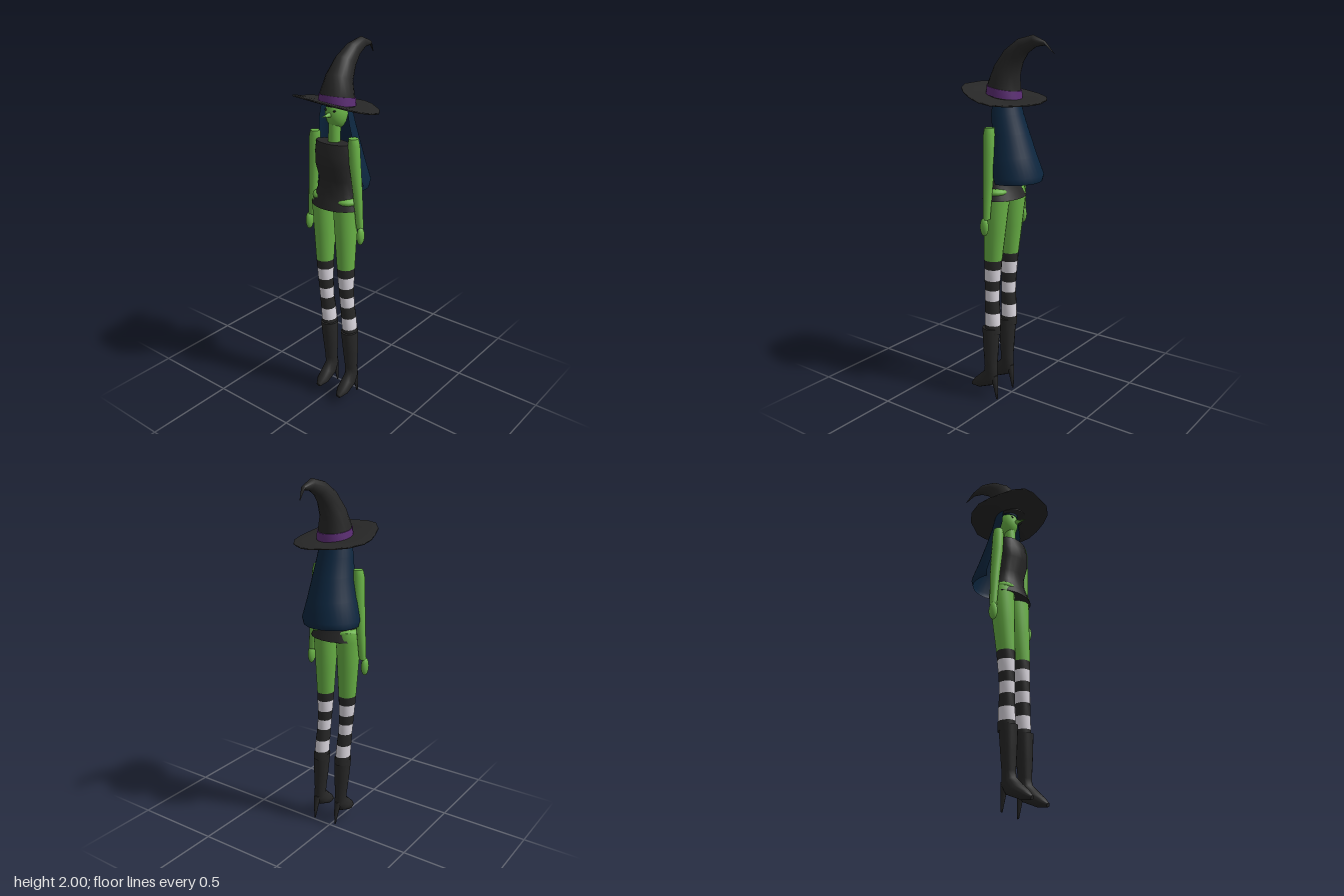
import * as THREE from 'three';

const mat = (name, color, side = THREE.FrontSide) => {
  const m = new THREE.MeshStandardMaterial({ color, side });
  m.name = name;
  return m;
};

// Level ring: height, centre and radii.  A ring is [cx, frontY, frontZ, backY, backZ, rx].
const flat = (y, cx, cz, rx, rz) => [cx, y, cz + rz, y, cz - rz, rx];

// Skin through elliptical rings listed from top to bottom (or from tip to base).
function loft(rings, seg = 14, { arc = null, cap = true } = {}) {
  const pos = [], idx = [];
  const [a0, a1] = arc || [0, Math.PI * 2];
  const cols = arc ? seg + 1 : seg;
  const point = ([cx, fy, fz, by, bz, rx], j) => {
    const a = a0 + ((a1 - a0) * j) / seg, s = Math.sin(a) / 2;
    return [cx + Math.cos(a) * rx, (fy + by) / 2 + s * (fy - by), (fz + bz) / 2 + s * (fz - bz)];
  };
  rings.forEach((r) => { for (let j = 0; j < cols; j++) pos.push(...point(r, j)); });
  for (let i = 0; i < rings.length - 1; i++) {
    for (let j = 0; j < seg; j++) {
      const k = (j + 1) % cols;
      const a = i * cols + j, b = i * cols + k, c = a + cols, d = b + cols;
      idx.push(a, b, c, b, d, c);
    }
  }
  if (cap && !arc) {
    [rings[0], rings[rings.length - 1]].forEach((r, end) => {
      const base = pos.length / 3;
      pos.push(r[0], (r[1] + r[3]) / 2, (r[2] + r[4]) / 2);
      for (let j = 0; j < seg; j++) pos.push(...point(r, j));
      for (let j = 0; j < seg; j++) {
        const p = base + 1 + j, q = base + 1 + ((j + 1) % seg);
        idx.push(base, end ? p : q, end ? q : p);
      }
    });
  }
  const g = new THREE.BufferGeometry();
  g.setAttribute('position', new THREE.Float32BufferAttribute(pos, 3));
  g.setIndex(idx);
  g.computeVertexNormals();
  return g;
}

// Hat brim: an uneven outline around a hole, bent by a height rule.
function brimGeometry() {
  const outline = [[-0.22, -0.02], [-0.18, -0.095], [-0.12, -0.14], [0, -0.175], [0.06, -0.16], [0.12, -0.12],
    [0.17, -0.08], [0.21, -0.02], [0.217, 0.05], [0.2, 0.115], [0.17, 0.18], [0.13, 0.23], [0.07, 0.255],
    [-0.07, 0.25], [-0.135, 0.23], [-0.18, 0.18], [-0.205, 0.11], [-0.22, 0.05]];
  const n = outline.length, pos = [], idx = [], cz = 0.045;
  const rows = [[0.38, 0.006], [0.7, 0.006], [1, 0.004], [1, -0.004], [0.7, -0.006], [0.38, -0.006]];
  rows.forEach(([t, h]) => outline.forEach(([ox, oz]) => {
    const x = ox * t, z = cz + (oz - cz) * t;
    pos.push(x, 1.677 + 0.166 * z + 0.457 * z * z - 0.06 * x + h, z);
  }));
  for (let i = 0; i < rows.length - 1; i++) {
    for (let j = 0; j < n; j++) {
      const a = i * n + j, b = i * n + ((j + 1) % n);
      idx.push(a, b, a + n, b, b + n, a + n);
    }
  }
  const g = new THREE.BufferGeometry();
  g.setAttribute('position', new THREE.Float32BufferAttribute(pos, 3));
  g.setIndex(idx);
  g.computeVertexNormals();
  return g;
}

// Leg centre line and thickness: y, cx, cz, rx, rz.
const LEG = [[1.2, -0.085, 0.05, 0.06, 0.062], [1.15, -0.087, 0.05, 0.067, 0.07], [0.98, -0.08, 0.058, 0.057, 0.06],
  [0.82, -0.073, 0.066, 0.048, 0.051], [0.7, -0.068, 0.068, 0.041, 0.045], [0.6, -0.062, 0.067, 0.038, 0.041],
  [0.52, -0.057, 0.061, 0.04, 0.045], [0.4, -0.05, 0.055, 0.041, 0.048]];
function legRing(y) {
  let i = 0;
  while (i < LEG.length - 2 && y < LEG[i + 1][0]) i++;
  const a = LEG[i], b = LEG[i + 1], t = (y - a[0]) / (b[0] - a[0]);
  return flat(...a.map((v, k) => v + (b[k] - v) * t));
}

export function createModel() {
  const skin = mat('green skin', 0x69b246);
  const black = mat('black cloth', 0x272727);
  const white = mat('pale stripe', 0xdcd8e0);
  const purple = mat('purple band', 0x5c2d75);
  const blue = mat('dark blue hair', 0x0c263f, THREE.DoubleSide);

  const model = new THREE.Group();
  const add = (name, geo, material, parent = model) => {
    const m = new THREE.Mesh(geo, material);
    m.name = name;
    parent.add(m);
    return m;
  };
  const ball = (name, material, p, r, parent = model) => {
    const m = add(name, new THREE.SphereGeometry(1, 16, 12), material, parent);
    m.position.set(...p);
    m.scale.set(...r);
    return m;
  };

  // Hat: bent cone, band and brim
  add('hatCone', loft([
    [-0.006, 1.908, -0.254, 1.91, -0.256, 0.002], [0.008, 1.973, -0.204, 1.95, -0.214, 0.012],
    [0.008, 2.0, -0.135, 1.942, -0.156, 0.024], [0.006, 1.979, -0.045, 1.91, -0.103, 0.037],
    [0.003, 1.926, 0.035, 1.862, -0.066, 0.051], [0, 1.846, 0.098, 1.793, -0.04, 0.067],
    [0, 1.756, 0.135, 1.724, -0.04, 0.088], [0, 1.7, 0.14, 1.67, -0.044, 0.09]], 18), black);
  add('hatBand', loft([[0, 1.75, 0.14, 1.717, -0.045, 0.092], [0, 1.706, 0.145, 1.676, -0.049, 0.096]], 18), purple);
  add('hatBrim', brimGeometry(), black);

  // Head and face
  ball('head', skin, [-0.01, 1.645, 0.04], [0.056, 0.085, 0.062]);
  add('neck', loft([flat(1.6, -0.01, 0.055, 0.032, 0.032), flat(1.48, -0.01, 0.062, 0.033, 0.032)]), skin);
  const nose = add('nose', new THREE.ConeGeometry(0.014, 0.07, 8), skin);
  nose.position.set(-0.01, 1.642, 0.128);
  nose.rotation.x = Math.PI / 2;
  for (const s of [-1, 1]) {
    ball('eye', black, [-0.01 + s * 0.027, 1.664, 0.092], [0.01, 0.005, 0.004]).rotation.z = s * 0.25;
  }

  // Hair: fringe under the hat and a long open sheet behind
  add('fringe', loft([flat(1.74, -0.01, 0.04, 0.06, 0.06), flat(1.7, -0.01, 0.038, 0.064, 0.066),
    flat(1.682, -0.01, 0.035, 0.06, 0.063)]), blue);
  add('longHair', loft([flat(1.74, -0.008, 0.05, 0.06, 0.065), flat(1.69, -0.008, 0.055, 0.083, 0.082),
    flat(1.6, -0.008, 0.055, 0.1, 0.105), flat(1.5, -0.01, 0.035, 0.114, 0.12),
    flat(1.38, -0.015, 0.015, 0.138, 0.14), flat(1.28, -0.02, 0.0, 0.163, 0.16),
    flat(1.245, -0.02, -0.005, 0.155, 0.145)], 18, { arc: [-Math.PI - 0.1, 0.1] }), blue);

  // Flared top with the hips showing at the sides
  add('top', loft([flat(1.5, -0.006, 0.075, 0.103, 0.052), flat(1.44, -0.006, 0.068, 0.112, 0.074),
    flat(1.38, -0.006, 0.066, 0.109, 0.078), flat(1.3, -0.006, 0.058, 0.1, 0.06),
    flat(1.24, -0.006, 0.055, 0.11, 0.064), flat(1.19, -0.006, 0.053, 0.131, 0.083),
    flat(1.15, -0.006, 0.052, 0.148, 0.099)], 18), black);
  for (const s of [-1, 1]) ball('hip', skin, [-0.006 + s * 0.072, 1.192, 0.053], [0.07, 0.03, 0.068]);

  // Arms mirrored about the body line
  for (const s of [-1, 1]) {
    const arm = new THREE.Group();
    arm.name = s < 0 ? 'rightArm' : 'leftArm';
    arm.position.x = -0.012;
    model.add(arm);
    add('sleeveless arm', loft([flat(1.535, s * 0.126, 0.06, 0.026, 0.026), flat(1.5, s * 0.129, 0.06, 0.031, 0.031),
      flat(1.4, s * 0.135, 0.058, 0.03, 0.032), flat(1.25, s * 0.149, 0.053, 0.025, 0.027),
      flat(1.055, s * 0.165, 0.053, 0.02, 0.019)], 12), skin, arm);
    ball('hand', skin, [s * 0.176, 1.015, 0.06], [0.019, 0.05, 0.025], arm);
  }

  // Legs: the same leaning leg twice
  for (const left of [false, true]) {
    const leg = new THREE.Group();
    leg.name = left ? 'leftLeg' : 'rightLeg';
    if (left) leg.position.set(0.148, -0.01, 0.004);
    model.add(leg);
    add('thigh', loft([1.2, 1.15, 0.98, 0.82].map(legRing)), skin, leg);
    const stripes = [0.82, 0.77, 0.705, 0.65, 0.59, 0.52, 0.45, 0.4];
    for (let i = 0; i < stripes.length - 1; i++) {
      add('stockingStripe', loft([stripes[i], stripes[i + 1]].map(legRing)), i % 2 ? white : black, leg);
    }
    add('boot', loft([flat(0.43, -0.048, 0.064, 0.047, 0.051), flat(0.3, -0.042, 0.062, 0.042, 0.043),
      flat(0.2, -0.038, 0.06, 0.034, 0.037), [-0.036, 0.168, 0.1, 0.13, 0.02, 0.033],
      [-0.035, 0.135, 0.132, 0.088, 0.045, 0.037], [-0.034, 0.1, 0.168, 0.055, 0.125, 0.034],
      [-0.033, 0.07, 0.191, 0.05, 0.183, 0.014]]), black, leg);
    add('heel', loft([flat(0.15, -0.035, 0.035, 0.022, 0.02), flat(0.08, -0.032, 0.023, 0.012, 0.014),
      flat(0.01, -0.03, 0.014, 0.004, 0.005)], 8), black, leg);
  }
  return model;
}
